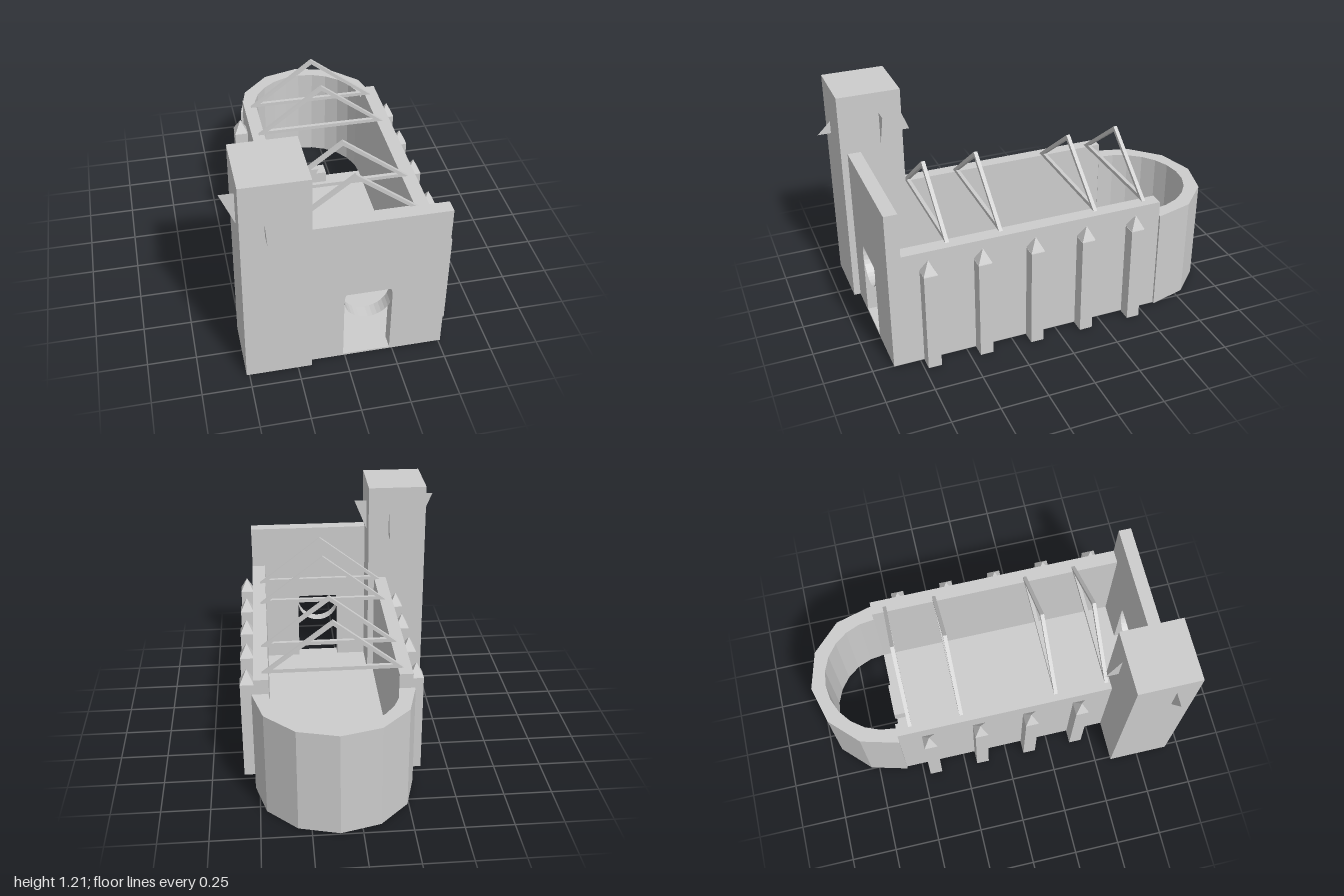
import * as THREE from 'three';

export function createModel() {
  const group = new THREE.Group();
  // double-sided because the fins and the arch lining are open sheets
  const stone = new THREE.MeshStandardMaterial({ name: 'stone', color: 0xcccccc, side: THREE.DoubleSide, flatShading: true });
  const CX = 0.1125; // nave axis
  const BASE = 0.005;

  const add = (name, geometry, parent = group) => {
    const mesh = new THREE.Mesh(geometry, stone);
    mesh.name = name;
    parent.add(mesh);
    return mesh;
  };
  const box = (name, x0, x1, y0, y1, z0, z1, parent) => {
    const mesh = add(name, new THREE.BoxGeometry(x1 - x0, y1 - y0, z1 - z0), parent);
    mesh.position.set((x0 + x1) / 2, (y0 + y1) / 2, (z0 + z1) / 2);
    return mesh;
  };
  const polygon = (pts) => new THREE.Shape(pts.map(([x, y]) => new THREE.Vector2(x, y)));
  const extrude = (shape, depth) => new THREE.ExtrudeGeometry(shape, { depth, bevelEnabled: false });

  // Nave
  box('floor', -0.285, 0.51, BASE, 0.015, -0.59, 0.89);
  box('rightWall', -0.285, -0.215, BASE, 0.645, -0.59, 0.82);
  box('leftWall', 0.435, 0.51, BASE, 0.645, -0.59, 0.82);
  box('altar', 0.015, 0.207, 0.015, 0.09, -0.6, -0.52);

  // Front wall with a doorway whose arch is cut off flat
  const R = 0.122, springY = 0.385, doorTop = 0.43;
  const facade = polygon([[-0.285, BASE], [0.51, BASE], [0.51, 0.885], [-0.285, 0.885]]);
  const cut = Math.asin((doorTop - springY) / R);
  const door = [[CX - R, 0.015], [CX + R, 0.015]];
  for (let i = 0; i <= 3; i++) {
    const a = (cut * i) / 3;
    door.push([CX + R * Math.cos(a), springY + R * Math.sin(a)]);
  }
  for (let i = 3; i >= 0; i--) {
    const a = (cut * i) / 3;
    door.push([CX - R * Math.cos(a), springY + R * Math.sin(a)]);
  }
  facade.holes.push(polygon(door));
  add('frontWall', extrude(facade, 0.07)).position.z = 0.82;

  // Half-round sheet hanging in the doorway
  const lining = new THREE.CylinderGeometry(R, R, 0.07, 16, 1, true, -Math.PI / 2, Math.PI);
  lining.rotateX(Math.PI / 2);
  add('archLining', lining).position.set(CX, springY, 0.855);

  // Apse: coarse outer wall, finer inner wall, open below and above
  const ring = [];
  for (let i = 0; i <= 6; i++) {
    const a = (Math.PI * i) / 6;
    ring.push([CX + 0.41 * Math.cos(a), 0.59 + 0.41 * Math.sin(a)]);
  }
  for (let i = 12; i >= 0; i--) {
    const a = (Math.PI * i) / 12;
    ring.push([CX + 0.326 * Math.cos(a), 0.59 + 0.33 * Math.sin(a)]);
  }
  const apse = extrude(polygon(ring), 0.56);
  apse.rotateX(-Math.PI / 2);
  add('apse', apse).position.y = BASE;

  // Buttresses with pyramid caps
  const capGeometry = new THREE.ConeGeometry(0.072 / Math.SQRT2, 0.072, 4);
  capGeometry.rotateY(Math.PI / 4);
  for (const x of [-0.323, 0.546]) {
    for (let i = 0; i < 5; i++) {
      const z = 0.695 - 0.281 * i;
      const buttress = new THREE.Group();
      buttress.name = 'buttress';
      box('buttressShaft', x - 0.036, x + 0.036, 0, 0.545, z - 0.035, z + 0.035, buttress);
      add('buttressCap', capGeometry, buttress).position.set(x, 0.585, z);
      group.add(buttress);
    }
  }

  // Open roof trusses: two rafters and a tie beam
  const truss = polygon([[-0.357, 0.645], [0.357, 0.645], [0, 0.922]]);
  truss.holes.push(polygon([[-0.303, 0.665], [0.303, 0.665], [0, 0.896]]));
  const trussGeometry = extrude(truss, 0.02);
  for (const z of [-0.515, -0.235, 0.288, 0.57]) {
    add('roofTruss', trussGeometry).position.set(CX - 0.002, 0, z - 0.01);
  }

  // Bell tower
  box('tower', -0.515, -0.18, BASE, 1.205, 0.59, 0.925);

  // Flat triangular fins, one per tower face
  const fin = (name, corners) => {
    const geometry = new THREE.BufferGeometry();
    geometry.setAttribute('position', new THREE.Float32BufferAttribute(corners.flat(), 3));
    geometry.computeVertexNormals();
    add(name, geometry);
  };
  fin('leftFin', [[-0.18, 1.09, 0.71], [-0.18, 0.912, 0.71], [-0.107, 1.09, 0.71]]);
  fin('rightFin', [[-0.515, 1.09, 0.807], [-0.588, 1.09, 0.807], [-0.515, 0.912, 0.807]]);
  fin('backFin', [[-0.298, 1.09, 0.59], [-0.298, 0.915, 0.59], [-0.298, 0.915, 0.52]]);
  fin('frontFin', [[-0.398, 0.985, 0.925], [-0.398, 0.915, 0.925], [-0.398, 0.915, 0.997]]);

  return group;
}
